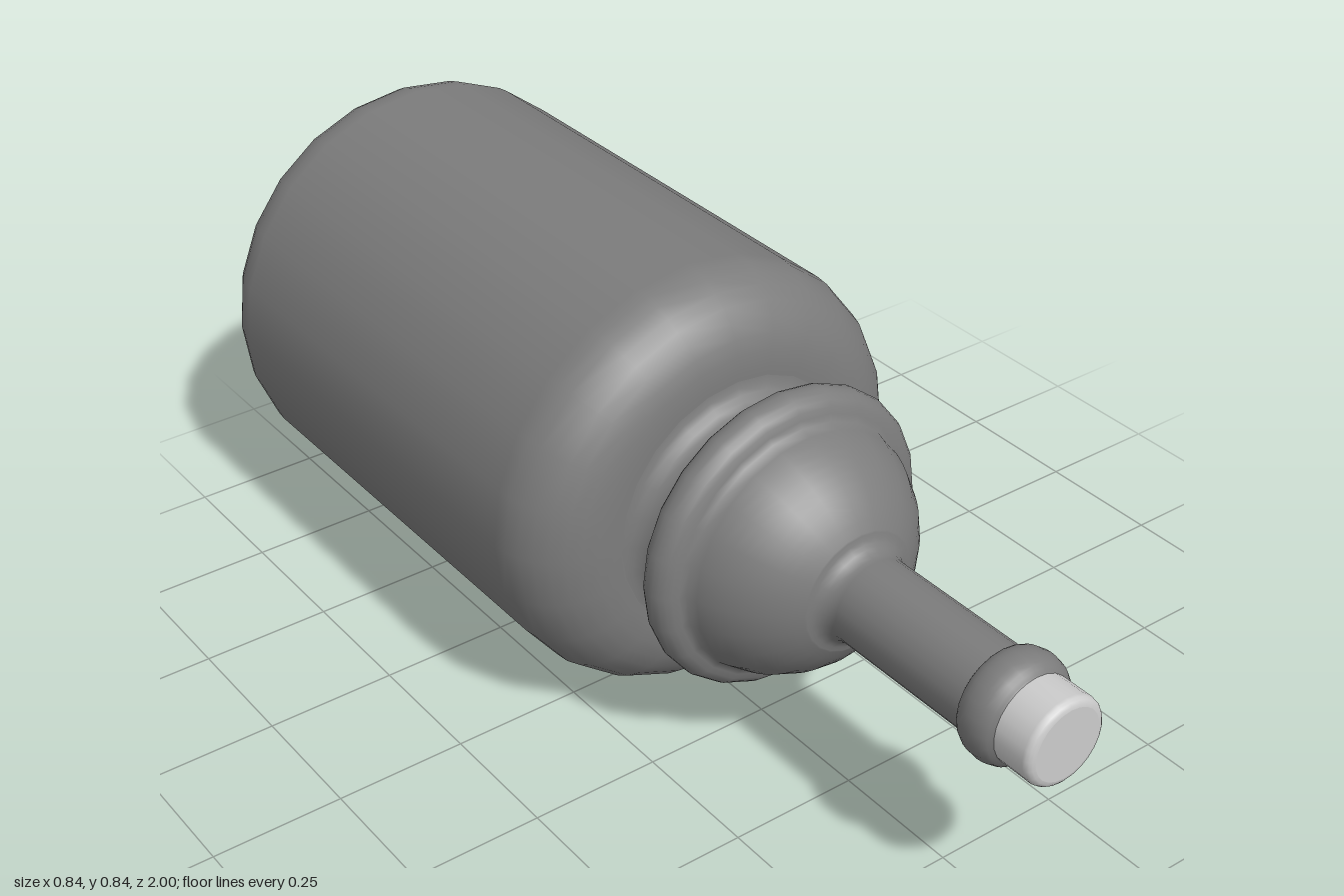
import * as THREE from 'three';

const SIDES = 24;
const AXIS_Y = 0.418;

// Points [radius, z] along an elliptical arc, angles in degrees
function arc(cr, cz, rr, rz, from, to, n = 8) {
  return Array.from({ length: n + 1 }, (_, i) => {
    const a = THREE.MathUtils.degToRad(from + (to - from) * i / n);
    return [cr + rr * Math.cos(a), cz + rz * Math.sin(a)];
  });
}

export function createModel() {
  const group = new THREE.Group();
  group.name = 'bottle';
  const dark = new THREE.MeshStandardMaterial({ color: 0x7c7c7c });
  const light = new THREE.MeshStandardMaterial({ color: 0xcccccc });

  // Turn a back-to-front profile around the z axis
  function turned(name, material, profile) {
    const points = profile.map(([r, z]) => new THREE.Vector2(r, z));
    const geometry = new THREE.LatheGeometry(points, SIDES);
    geometry.rotateX(Math.PI / 2);
    geometry.translate(0, AXIS_Y, 0);
    const mesh = new THREE.Mesh(geometry, material);
    mesh.name = name;
    group.add(mesh);
  }

  // Container with a flat base and rounded ends
  turned('body', dark, [
    [0, -1],
    ...arc(0.29, -0.87, 0.128, 0.13, -90, 0),
    ...arc(0.27, 0.02, 0.148, 0.145, 0, 90),
    [0.25, 0.165],
  ]);

  // Waisted neck, collar, dome and spout in one smooth sweep
  turned('neckAndSpout', dark, [
    ...arc(0.25, 0.21, 0.042, 0.045, -90, -265, 10),
    ...arc(0.248, 0.295, 0.042, 0.041, -85, 80, 10),
    ...arc(0, 0.28, 0.25, 0.25, 14, 62, 10),
    ...arc(0.117, 0.54, 0.034, 0.038, -95, -180, 6),
    [0.083, 0.84],
    ...arc(0.079, 0.88, 0.024, 0.041, -75, 75, 10),
    [0.083, 0.922],
  ]);

  // Pale tip with a softened rim and closed end
  turned('tip', light, [[0.083, 0.918], ...arc(0.068, 0.985, 0.015, 0.015, 0, 90, 4)]);
  turned('tipEnd', light, [[0.068, 1], [0, 1]]);

  return group;
}
